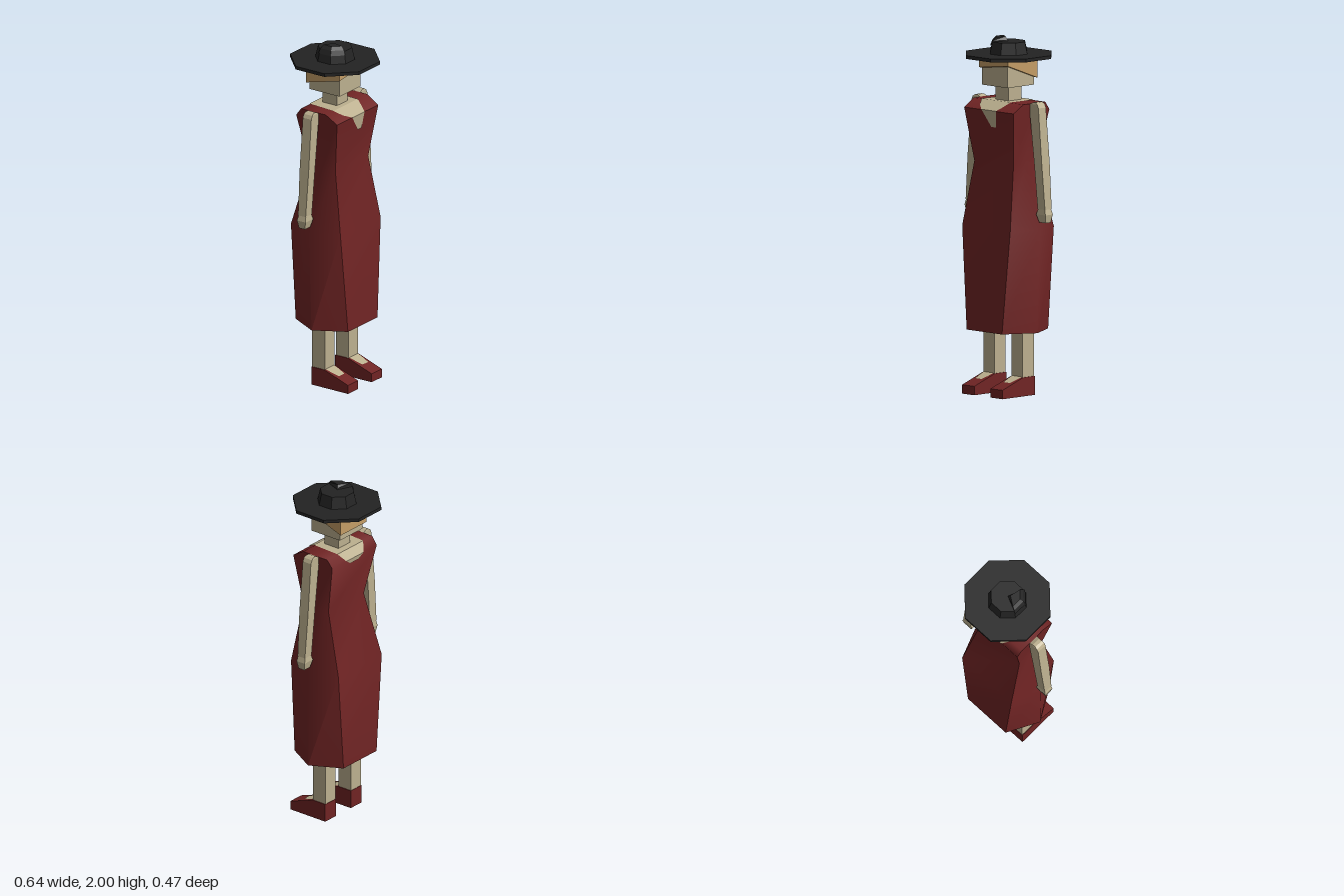
import * as THREE from 'three';
import { toCreasedNormals } from 'three/addons/utils/BufferGeometryUtils.js';

const skin = new THREE.MeshStandardMaterial({ color: 0xbcb08f });
skin.name = 'skin';
const red = new THREE.MeshStandardMaterial({ color: 0x702424 });
red.name = 'dark red';
const black = new THREE.MeshStandardMaterial({ color: 0x232323 });
black.name = 'hat black';
const blond = new THREE.MeshStandardMaterial({ color: 0xc49d66 });
blond.name = 'blond hair';

function fromTriangles(points, crease) {
  const geo = new THREE.BufferGeometry();
  geo.setAttribute('position', new THREE.Float32BufferAttribute(points.flat(), 3));
  geo.computeVertexNormals();
  return crease ? toCreasedNormals(geo, crease) : geo;
}

// Closed solid through rings of [x, y, z], listed bottom to top, each turning from +x to +z
function loft(rings, crease = 0) {
  const tris = [];
  const n = rings[0].length;
  for (let i = 0; i < rings.length - 1; i++) {
    for (let j = 0; j < n; j++) {
      const k = (j + 1) % n;
      const a = rings[i][j], b = rings[i][k], c = rings[i + 1][j], d = rings[i + 1][k];
      tris.push(a, c, b, b, c, d);
    }
  }
  const top = rings[rings.length - 1], bottom = rings[0];
  for (let j = 1; j < n - 1; j++) {
    tris.push(top[0], top[j + 1], top[j]);
    tris.push(bottom[0], bottom[j], bottom[j + 1]);
  }
  return fromTriangles(tris, crease);
}

// Thin face strip over rows of [xLeft, xRight, y, z], listed from back to front
function strip(rows) {
  const tris = [];
  for (let i = 0; i < rows.length - 1; i++) {
    const [l0, r0, y0, z0] = rows[i], [l1, r1, y1, z1] = rows[i + 1];
    const a = [l0, y0, z0], b = [r0, y0, z0], c = [l1, y1, z1], d = [r1, y1, z1];
    tris.push(a, c, b, b, c, d);
  }
  return fromTriangles(tris);
}

// Rectangular ring; x limits may come in either order
function rect(xa, xb, y, zFront, zBack = -zFront) {
  const x0 = Math.min(xa, xb), x1 = Math.max(xa, xb);
  return [[x1, y, zBack], [x1, y, zFront], [x0, y, zFront], [x0, y, zBack]];
}

// Six-sided ring with flat front and back and pointed sides
function hex(y, side, front, zFront, back, zBack) {
  const mid = (zFront + zBack) / 2;
  return [[side, y, mid], [front, y, zFront], [-front, y, zFront],
    [-side, y, mid], [-back, y, zBack], [back, y, zBack]];
}

// Eight-sided ring, h = half the distance between flats
function oct(y, h) {
  return Array.from({ length: 8 }, (_, k) => {
    const a = (k + 0.5) * Math.PI / 4, r = h / Math.cos(Math.PI / 8);
    return [r * Math.cos(a), y, r * Math.sin(a)];
  });
}

export function createModel() {
  const model = new THREE.Group();
  const add = (name, geo, material) => {
    const mesh = new THREE.Mesh(geo, material);
    mesh.name = name;
    model.add(mesh);
  };

  // Dress: hem, hips, waist, chest, shoulders
  add('dress', loft([
    hex(0.36, 0.24, 0.14, 0.19, 0.145, -0.165),
    hex(0.94, 0.255, 0.19, 0.175, 0.19, -0.165),
    hex(1.30, 0.16, 0.155, 0.115, 0.155, -0.065),
    hex(1.60, 0.197, 0.195, 0.155, 0.195, -0.125),
    hex(1.645, 0.2, 0.198, 0.08, 0.198, -0.09),
  ], 1.0), red);

  // Neckline: bare skin from the nape over the shoulders to a V at the front
  add('neckline', strip([
    [-0.035, 0.035, 1.575, -0.124],
    [-0.075, 0.075, 1.602, -0.129],
    [-0.115, 0.11, 1.648, -0.093],
    [-0.13, 0.1, 1.648, 0.083],
    [-0.1, 0.08, 1.622, 0.126],
    [-0.055, 0.06, 1.602, 0.159],
    [0.012, 0.048, 1.508, 0.147],
  ]), skin);

  // Neck and head
  add('neck', loft([rect(-0.052, 0.05, 1.62, 0.05), rect(-0.052, 0.05, 1.74, 0.05)]), skin);
  add('head', loft([rect(-0.103, 0.098, 1.73, 0.105, -0.1), rect(-0.103, 0.098, 1.885, 0.105, -0.1)]), skin);

  // Hair: cap cut on a slant from fringe to nape
  add('hair', loft([
    [[0.11, 1.77, -0.115], [0.11, 1.855, 0.115], [-0.117, 1.828, 0.115], [-0.117, 1.77, -0.115]],
    rect(-0.117, 0.11, 1.892, 0.115),
  ]), blond);

  // Hat: brim, crown and a raised wedge in the crown
  add('hatBrim', loft([oct(1.888, 0.237), oct(1.907, 0.237)]), black);
  add('hatCrown', loft([oct(1.9, 0.106), oct(1.975, 0.09)]), black);
  const wedge = (y, h, inset) => [[-inset, y, inset / 2], [-0.414 * h, y, h],
    [-h, y, 0.414 * h], [-h, y, -0.414 * h]];
  add('hatPinch', loft([wedge(1.955, 0.1, 0), wedge(1.982, 0.088, 0.004), wedge(2.0, 0.07, 0.016)]), black);

  // Mirrored limbs
  for (const [s, side] of [[1, 'left'], [-1, 'right']]) {
    const ring = (y, xIn, xOut, z, zBack) => rect(s * xIn, s * xOut, y, z, zBack);

    add(side + 'Arm', loft([
      ring(1.06, 0.256, 0.314, 0.026),
      ring(1.32, 0.233, 0.293, 0.031),
      ring(1.625, 0.193, 0.265, 0.029),
      ring(1.645, 0.2, 0.255, 0.029),
      ring(1.655, 0.22, 0.24, 0.026),
    ]), skin);
    add(side + 'Hand', loft([
      ring(0.985, 0.262, 0.313, 0.02),
      ring(1.03, 0.247, 0.32, 0.029),
      ring(1.065, 0.26, 0.31, 0.024),
    ]), skin);

    add(side + 'Leg', loft([ring(0.09, 0.068, 0.156, 0.044), ring(0.4, 0.068, 0.156, 0.044)]), skin);

    // Shoe with a sloping toe, plus the bare instep on the slope
    add(side + 'Shoe', loft([
      ring(0, 0.064, 0.16, 0.205, -0.046),
      ring(0.05, 0.064, 0.16, 0.205, -0.046),
      ring(0.106, 0.064, 0.16, 0.045, -0.046),
    ]), red);
    const c = s * 0.112;
    add(side + 'Instep', strip([
      [c - 0.04, c + 0.04, 0.109, 0.046],
      [c - 0.035, c + 0.035, 0.0955, 0.085],
      [c - 0.025, c + 0.025, 0.081, 0.127],
    ]), skin);
  }

  return model;
}
